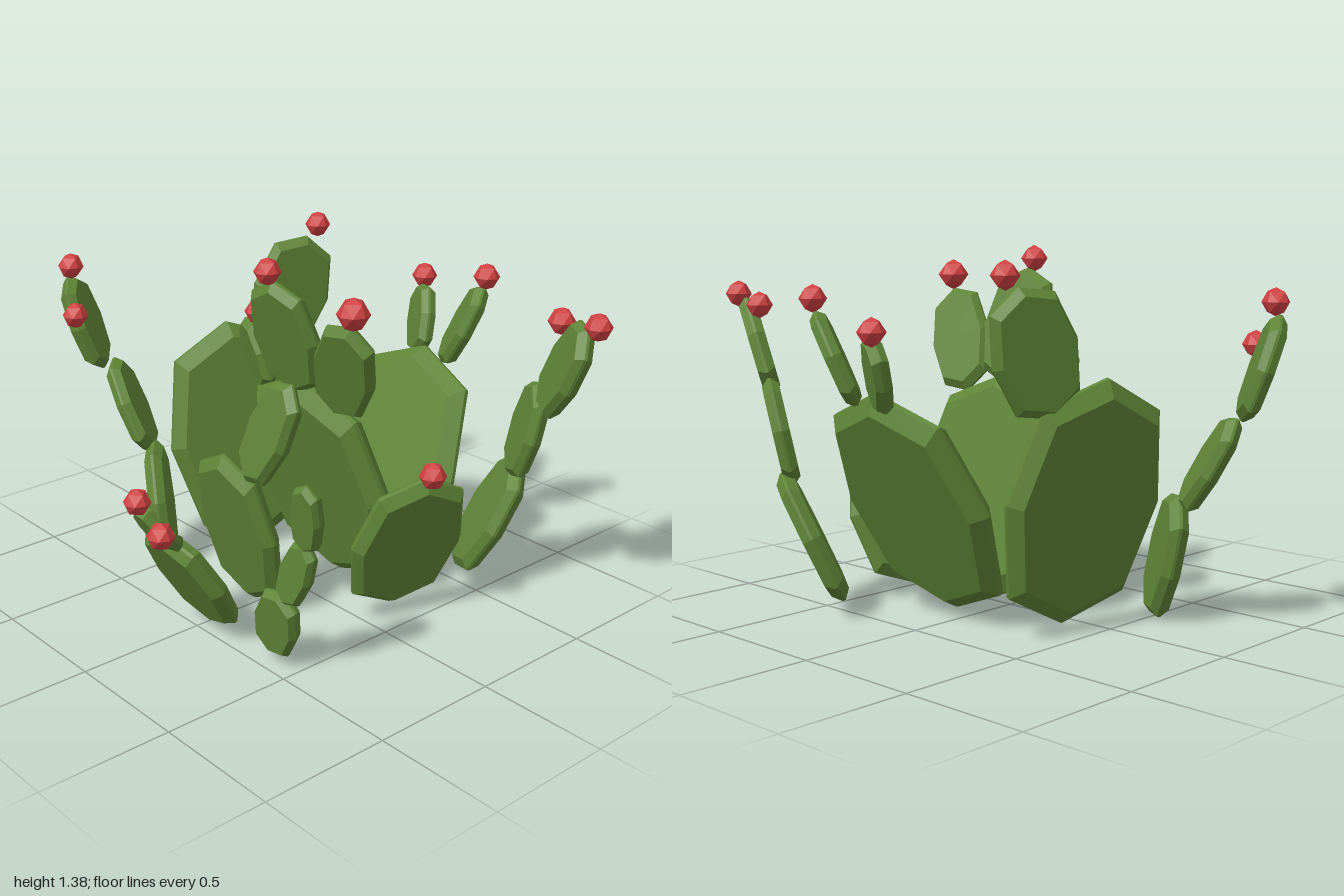
import * as THREE from 'three';

const padMaterial = new THREE.MeshStandardMaterial({ color: 0x5f8537, flatShading: true });
padMaterial.name = 'cactus green';
const fruitMaterial = new THREE.MeshStandardMaterial({ color: 0xd04040, flatShading: true });
fruitMaterial.name = 'fruit red';

// Unit pad: bevelled eight-sided disc, slightly squared off at its diagonal corners
function makePadGeometry() {
  const profile = [[0, -0.5], [0.87, -0.5], [1, -0.08], [1, 0.08], [0.87, 0.5], [0, 0.5]]
    .map(([r, y]) => new THREE.Vector2(r, y));
  const geometry = new THREE.LatheGeometry(profile, 8).toNonIndexed();
  const p = geometry.attributes.position;
  for (let i = 0; i < p.count; i++) {
    const x = p.getX(i), z = p.getZ(i);
    if (Math.abs(x) > 0.1 && Math.abs(z) > 0.1) p.setXYZ(i, x * 1.07, p.getY(i), z * 1.07);
  }
  geometry.computeVertexNormals();
  return geometry;
}

export function createModel() {
  const model = new THREE.Group();
  model.name = 'paddleCactus';
  const padGeometry = makePadGeometry();
  const fruitGeometry = new THREE.OctahedronGeometry(1, 1);

  // A branch collects the pads and fruits that grow from one root
  function addBranch(name) {
    const branch = new THREE.Group();
    branch.name = name;
    model.add(branch);
    return branch;
  }

  // A pad runs from base to tip; yaw turns its width from +x towards +z, wider pads are thicker
  function addPad(branch, name, base, tip, width, yaw) {
    const a = new THREE.Vector3(...base), b = new THREE.Vector3(...tip);
    const axis = b.clone().sub(a).normalize();
    const angle = THREE.MathUtils.degToRad(yaw);
    const across = new THREE.Vector3(Math.cos(angle), 0, Math.sin(angle));
    across.addScaledVector(axis, -across.dot(axis)).normalize();
    const normal = axis.clone().cross(across);
    const pad = new THREE.Mesh(padGeometry, padMaterial);
    pad.name = name;
    pad.quaternion.setFromRotationMatrix(new THREE.Matrix4().makeBasis(across, normal, axis));
    pad.position.copy(a).lerp(b, 0.5);
    pad.scale.set(width / 2, 0.04 + 0.1 * width, a.distanceTo(b) / 2);
    branch.add(pad);
  }

  function addFruit(branch, x, y, z, radius = 0.051) {
    const fruit = new THREE.Mesh(fruitGeometry, fruitMaterial);
    fruit.name = 'fruit';
    fruit.position.set(x, y, z);
    fruit.scale.setScalar(radius);
    branch.add(fruit);
  }

  // Broad pad at the back with one pad on its shoulder
  const back = addBranch('backBranch');
  addPad(back, 'backPad', [0.14, 0.04, -0.38], [0.12, 0.94, -0.58], 0.66, 14);
  addPad(back, 'backUpperPad', [0.32, 0.81, -0.5], [0.46, 1.26, -0.47], 0.34, 17);
  addFruit(back, 0.52, 1.3, -0.47);

  // Broad pad leaning out to the left
  const left = addBranch('leftBranch');
  addPad(left, 'leftPad', [0.23, 0.04, 0.05], [0.64, 0.88, 0.05], 0.72, 90);
  addPad(left, 'leftUpperFrontPad', [0.65, 0.83, 0.13], [0.71, 1.16, 0.28], 0.21, -48);
  addPad(left, 'leftUpperBackPad', [0.65, 0.83, 0], [0.77, 1.08, -0.1], 0.2, -60);
  addFruit(left, 0.71, 1.205, 0.29);
  addFruit(left, 0.79, 1.11, -0.115);

  // Broad centre pad with three upper pads
  const centre = addBranch('centreBranch');
  addPad(centre, 'centrePad', [0.2, 0.04, 0.05], [-0.03, 0.9, 0.05], 0.72, 90);
  addPad(centre, 'centreUpperMiddlePad', [-0.03, 0.85, 0.05], [-0.16, 1.3, 0.05], 0.31, 84);
  addPad(centre, 'centreUpperFrontPad', [-0.02, 0.82, 0.25], [-0.13, 1.21, 0.43], 0.26, 81);
  addPad(centre, 'centreUpperBackPad', [0.02, 0.78, -0.19], [0, 1.05, -0.3], 0.19, 110);
  addFruit(centre, -0.175, 1.335, 0.04);
  addFruit(centre, -0.14, 1.265, 0.45, 0.06);
  addFruit(centre, 0, 1.09, -0.23);

  // Narrow pad right of the centre
  const rightInner = addBranch('rightInnerBranch');
  addPad(rightInner, 'rightInnerPad', [-0.21, 0.03, 0], [-0.36, 0.67, 0], 0.41, 90);
  addPad(rightInner, 'rightInnerUpperPad', [-0.36, 0.61, 0.14], [-0.29, 1.01, 0.31], 0.23, 98);

  // Low pad leaning out to the right
  const rightOuter = addBranch('rightOuterBranch');
  addPad(rightOuter, 'rightOuterPad', [-0.43, 0.04, 0.05], [-0.68, 0.47, 0.05], 0.37, 90);
  addPad(rightOuter, 'rightOuterFrontTipPad', [-0.66, 0.44, 0.09], [-0.78, 0.54, 0.18], 0.11, 72);
  addPad(rightOuter, 'rightOuterBackTipPad', [-0.67, 0.44, 0.04], [-0.74, 0.57, 0], 0.11, 90);
  addFruit(rightOuter, -0.745, 0.595, 0);
  addFruit(rightOuter, -0.79, 0.55, 0.2);

  // Chain of three pads reaching backwards
  const rear = addBranch('rearChain');
  addPad(rear, 'rearLowerPad', [-0.29, 0.01, -0.46], [-0.21, 0.49, -0.65], 0.31, -49);
  addPad(rear, 'rearMiddlePad', [-0.23, 0.44, -0.64], [-0.24, 0.79, -0.87], 0.24, -45);
  addPad(rear, 'rearUpperPad', [-0.31, 0.77, -0.84], [-0.39, 1.15, -0.94], 0.25, -41);
  addFruit(rear, -0.39, 1.195, -0.915);
  addFruit(rear, -0.46, 1.035, -0.79);

  // Chain of three pads reaching forwards on the left
  const front = addBranch('frontLeftChain');
  addPad(front, 'frontLeftLowerPad', [0.53, 0.06, 0.36], [0.66, 0.54, 0.56], 0.33, -54);
  addPad(front, 'frontLeftMiddlePad', [0.61, 0.49, 0.55], [0.64, 0.89, 0.65], 0.25, -54);
  addPad(front, 'frontLeftUpperPad', [0.58, 0.82, 0.7], [0.54, 1.18, 0.92], 0.26, -54);
  addFruit(front, 0.55, 1.195, 0.95);
  addFruit(front, 0.6, 1.16, 0.75);

  // Single pad in front of the centre
  const single = addBranch('frontBranch');
  addPad(single, 'frontPad', [0.13, 0.05, 0.38], [0.11, 0.63, 0.58], 0.46, 17);
  addFruit(single, 0.11, 0.65, 0.61);

  // Small upright chain at the front right
  const small = addBranch('smallChain');
  addPad(small, 'smallLowerPad', [-0.43, 0.04, 0.36], [-0.47, 0.32, 0.46], 0.2, 87);
  addPad(small, 'smallMiddlePad', [-0.47, 0.29, 0.48], [-0.45, 0.55, 0.57], 0.14, 87);
  addPad(small, 'smallUpperPad', [-0.45, 0.52, 0.57], [-0.49, 0.79, 0.61], 0.13, 87);

  return model;
}
